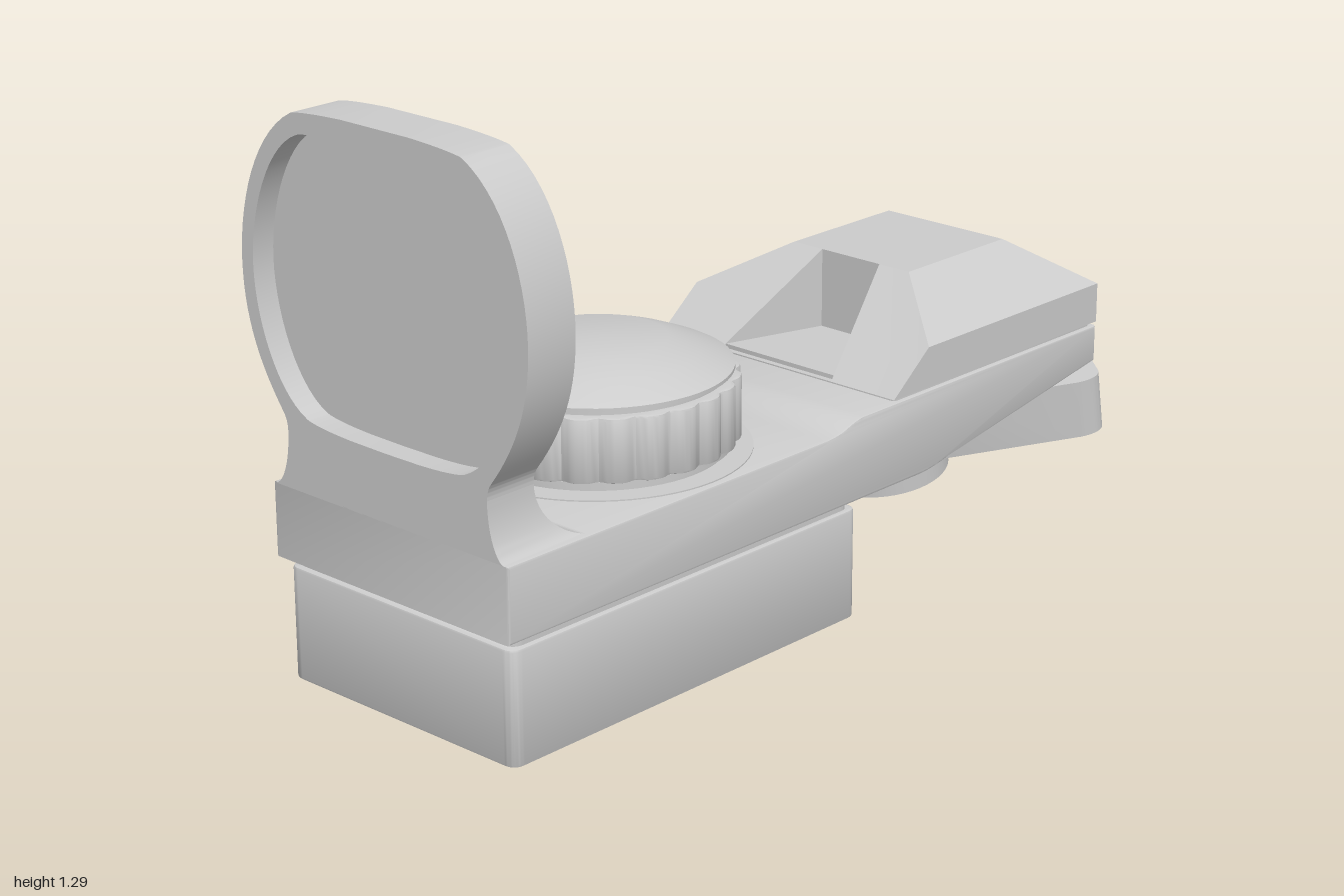
import * as THREE from 'three';
import { toCreasedNormals } from 'three/addons/utils/BufferGeometryUtils.js';

const mat = new THREE.MeshStandardMaterial({ color: 0xcccccc });
const v2 = (x, y) => new THREE.Vector2(x, y);

function add(parent, name, geo) {
  const mesh = new THREE.Mesh(toCreasedNormals(geo, 0.5), mat);
  mesh.name = name;
  parent.add(mesh);
  return mesh;
}

function extrude(shape, depth, bevel = 0) {
  return new THREE.ExtrudeGeometry(shape, {
    depth: depth - 2 * bevel, bevelEnabled: bevel > 0, bevelThickness: bevel,
    bevelSize: bevel, bevelOffset: -bevel, bevelSegments: 2, curveSegments: 12,
  }).translate(0, 0, bevel);
}

// Slab with rounded vertical edges, from x0 to x1, y0 to y1, half depth w
function slab(x0, x1, y0, y1, w, r, bevel = 0) {
  const s = new THREE.Shape();
  s.moveTo(x0 + r, -w).lineTo(x1 - r, -w).quadraticCurveTo(x1, -w, x1, -w + r);
  s.lineTo(x1, w - r).quadraticCurveTo(x1, w, x1 - r, w).lineTo(x0 + r, w);
  s.quadraticCurveTo(x0, w, x0, w - r).lineTo(x0, -w + r).quadraticCurveTo(x0, -w, x0 + r, -w);
  return extrude(s, y1 - y0, bevel).rotateX(-Math.PI / 2).translate(0, y0, 0);
}

// Closed outline from one half of a path, mirrored
function mirrored(path) {
  const half = path.getPoints(14);
  return [...half, ...half.slice().reverse().map((p) => v2(-p.x, p.y))]
    .filter((p, i, a) => i === 0 || p.distanceTo(a[i - 1]) > 1e-5);
}

function facing(shape, depth, x) {
  return extrude(shape, depth).rotateY(Math.PI / 2).translate(x, 0, 0);
}

// Flat-sided solid from corners and polygons
function solid(corners, polygons) {
  const pos = [];
  for (const p of polygons) {
    for (let i = 1; i < p.length - 1; i++) {
      for (const k of [p[0], p[i], p[i + 1]]) pos.push(...corners[k]);
    }
  }
  const geo = new THREE.BufferGeometry();
  geo.setAttribute('position', new THREE.Float32BufferAttribute(pos, 3));
  geo.computeVertexNormals();
  return geo;
}

function addBody(g) {
  add(g, 'batteryBox', slab(-0.98, 0.095, 0, 0.262, 0.342, 0.03, 0.006));
  add(g, 'boxCollar', slab(-0.965, 0.08, 0.25, 0.29, 0.33, 0.03));
  const s = new THREE.Shape();
  s.moveTo(-1, 0.285).lineTo(0.3, 0.285).quadraticCurveTo(0.35, 0.287, 0.4, 0.3);
  s.lineTo(0.955, 0.392).lineTo(0.955, 0.48).lineTo(0.1, 0.48);
  s.bezierCurveTo(0.05, 0.478, 0.04, 0.456, -0.03, 0.456).lineTo(-1, 0.456);
  add(g, 'body', extrude(s, 0.71, 0.006).translate(0, 0, -0.355));

  // Neck flares down from the window frame into the body
  const neck = new THREE.BoxGeometry(1, 1, 1, 1, 12, 1);
  const p = neck.attributes.position;
  for (let i = 0; i < p.count; i++) {
    const a = (p.getY(i) + 0.5) * Math.PI / 2;
    const w = 0.3 + 0.052 * (1 - Math.sin(a));
    p.setXYZ(i, p.getX(i) < 0 ? -1 : -0.74 - 0.13 * Math.sin(a),
      0.583 - 0.13 * Math.cos(a), Math.sign(p.getZ(i)) * w);
  }
  add(g, 'neck', neck);
}

function addWindow(g) {
  const outer = new THREE.Path();
  outer.moveTo(0, 0.583).lineTo(0.3, 0.583).quadraticCurveTo(0.3, 0.607, 0.315, 0.625);
  outer.bezierCurveTo(0.38, 0.71, 0.425, 0.8, 0.425, 0.93);
  outer.bezierCurveTo(0.425, 1.06, 0.37, 1.22, 0.25, 1.28);
  outer.quadraticCurveTo(0.21, 1.288, 0.1, 1.292).lineTo(0, 1.292);
  const inner = new THREE.Path();
  inner.moveTo(0, 0.608).lineTo(0.1, 0.609).quadraticCurveTo(0.2, 0.612, 0.235, 0.622);
  inner.bezierCurveTo(0.33, 0.66, 0.39, 0.81, 0.39, 0.93);
  inner.bezierCurveTo(0.39, 1.05, 0.33, 1.2, 0.235, 1.236);
  inner.quadraticCurveTo(0.2, 1.245, 0.1, 1.248).lineTo(0, 1.248);
  const frame = new THREE.Shape(mirrored(outer));
  frame.holes.push(new THREE.Path(mirrored(inner)));
  add(g, 'windowFrame', facing(frame, 0.13, -1));
  add(g, 'lens', facing(new THREE.Shape(mirrored(inner)), 0.012, -0.945));
}

function addDial(g) {
  const dial = new THREE.Group();
  dial.name = 'dial';
  dial.position.x = -0.382;
  g.add(dial);
  const base = [[0, 0.45], [0.34, 0.45], [0.34, 0.459], [0.285, 0.459], [0.285, 0.47],
    [0.298, 0.47], [0.298, 0.483], [0, 0.483]];
  add(dial, 'dialBase', new THREE.LatheGeometry(base.map((q) => v2(...q)), 64));

  // Grip ring with broad lobes parted by narrow flutes
  const pts = [];
  const lobes = 24, steps = 10;
  for (let i = 0; i < lobes * steps; i++) {
    const a = i / (lobes * steps) * Math.PI * 2;
    const r = 0.314 - 0.012 * Math.pow(Math.abs(Math.cos(a * lobes / 2)), 5);
    pts.push(v2(r * Math.cos(a), r * Math.sin(a)));
  }
  add(dial, 'gripRing', extrude(new THREE.Shape(pts), 0.145, 0.006)
    .rotateX(-Math.PI / 2).translate(0, 0.483, 0));

  const cap = [[0, 0.62], [0.285, 0.62], [0.285, 0.637], [0.3, 0.64], [0.3, 0.648],
    [0.285, 0.656], [0.225, 0.681], [0.155, 0.705], [0, 0.706]];
  add(dial, 'dialCap', new THREE.LatheGeometry(cap.map((q) => v2(...q)), 64));
}

// Sloping cover over the emitter, with a tapering notch open toward the window
function addCover(g) {
  add(g, 'coverSeam', slab(0.215, 0.943, 0.47, 0.5, 0.343, 0.01));
  const c = {};
  for (const [side, k] of [['L', 1], ['R', -1]]) {
    Object.assign(c, {
      ['toe' + side]: [0.2, 0.49, k * 0.355], ['heel' + side]: [0.955, 0.49, k * 0.355],
      ['wall' + side]: [0.32, 0.585, k * 0.355], ['end' + side]: [0.955, 0.585, k * 0.355],
      ['top' + side]: [0.465, 0.69, k * 0.175], ['back' + side]: [0.815, 0.69, k * 0.175],
      ['mouth' + side]: [0.2, 0.49, k * 0.17], ['lip' + side]: [0.465, 0.69, k * 0.087],
      ['floor' + side]: [0.465, 0.49, k * 0.087],
    });
  }
  const halfFaces = [
    ['toe', 'heel', 'end', 'wall'], ['wall', 'end', 'back', 'top'],
    ['toe', 'wall', 'top', 'lip', 'mouth'], ['mouth', 'lip', 'floor'],
  ];
  const faces = [
    ...halfFaces.map((f) => f.map((n) => n + 'L')),
    ...halfFaces.map((f) => f.map((n) => n + 'R').reverse()),
    ['heelL', 'heelR', 'endR', 'endL'], ['endL', 'endR', 'backR', 'backL'],
    ['topL', 'backL', 'backR', 'topR', 'lipR', 'lipL'],
    ['lipL', 'lipR', 'floorR', 'floorL'], ['mouthL', 'floorL', 'floorR', 'mouthR'],
    ['toeR', 'heelR', 'heelL', 'toeL'],
  ];
  add(g, 'emitterCover', solid(c, faces));
}

// Clamp lever under the sloping tail
function addLever(g) {
  const lever = new THREE.Group();
  lever.name = 'clampLever';
  lever.position.set(0.56, 0.15, 0.02);
  lever.rotation.z = 0.163;
  g.add(lever);
  add(lever, 'leverPivot', new THREE.CylinderGeometry(0.165, 0.165, 0.185, 48).translate(0, 0.0925, 0));
  const s = new THREE.Shape();
  s.moveTo(0, 0).lineTo(0.16, -0.045).lineTo(0.425, -0.275);
  s.quadraticCurveTo(0.455, -0.3, 0.43, -0.325).lineTo(0.39, -0.375);
  s.quadraticCurveTo(0.36, -0.4, 0.315, -0.37).lineTo(0.06, -0.153);
  add(lever, 'leverArm', extrude(s, 0.145).rotateX(-Math.PI / 2).translate(0, 0.029, 0));
}

export function createModel() {
  const g = new THREE.Group();
  g.name = 'reflexSight';
  addBody(g);
  addWindow(g);
  addDial(g);
  addCover(g);
  addLever(g);
  return g;
}
